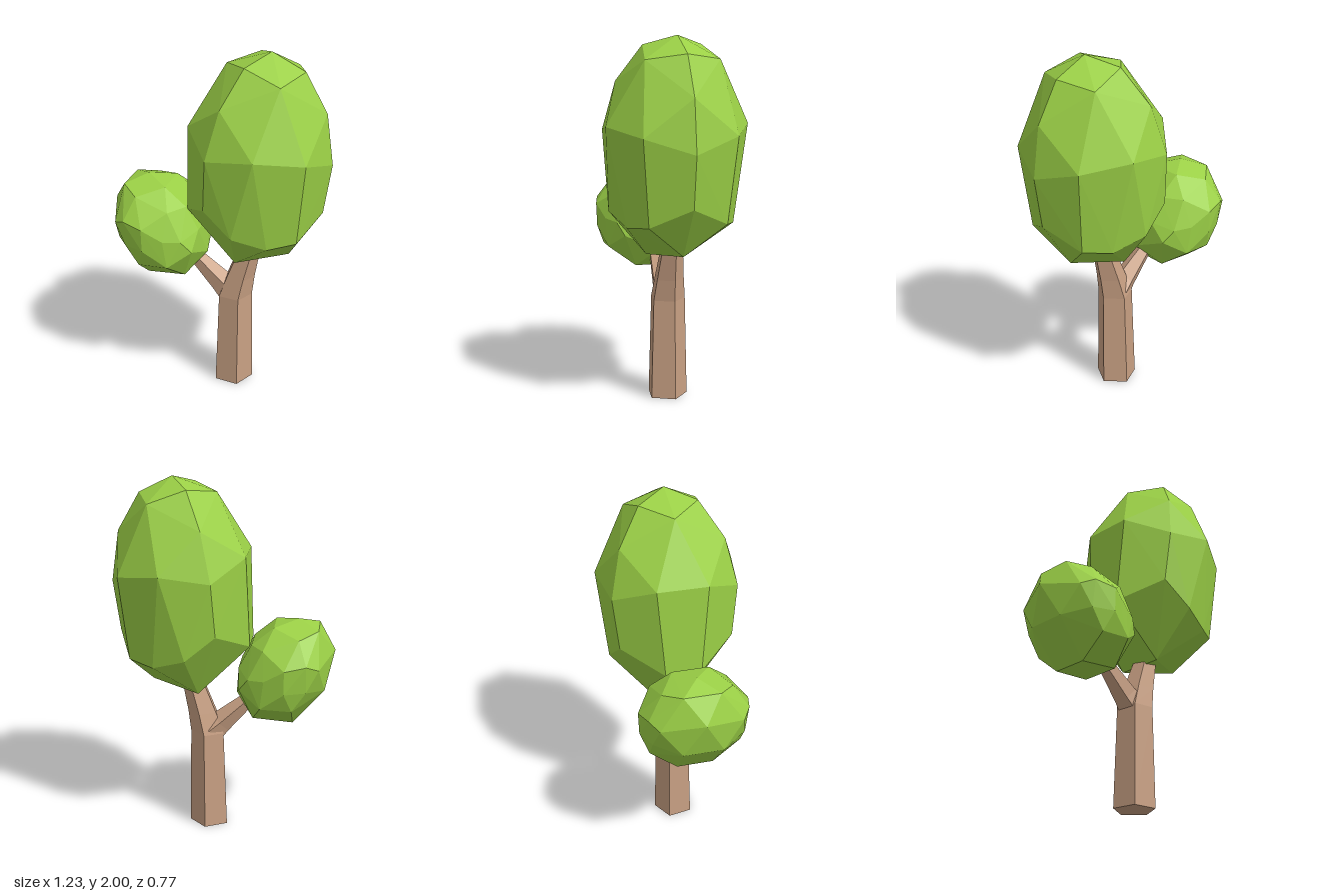
import * as THREE from 'three';
import { ConvexGeometry } from 'three/addons/geometries/ConvexGeometry.js';

const leaf = new THREE.MeshStandardMaterial({ color: 0x9bd046, flatShading: true });
const bark = new THREE.MeshStandardMaterial({ color: 0xc8a083, flatShading: true });

// Faceted foliage: hull of [x, y, z] points, mirrored front to back
function crown(name, points) {
  const all = [];
  for (const [x, y, z] of points) {
    all.push(new THREE.Vector3(x, y, z));
    if (z > 0) all.push(new THREE.Vector3(x, y, -z));
  }
  const mesh = new THREE.Mesh(new ConvexGeometry(all), leaf);
  mesh.name = name;
  return mesh;
}

// Five-sided limb through rings [x, y, radius, tilt about z]
function limb(name, rings) {
  const N = 5, start = -10 * Math.PI / 180;
  const at = ([x, y, r, tilt], i) => {
    const a = start + (i % N) * 2 * Math.PI / N, c = r * Math.cos(a);
    return [x + c * Math.cos(tilt), y + c * Math.sin(tilt), r * Math.sin(a)];
  };
  const pos = [], first = rings[0], last = rings[rings.length - 1];
  for (let i = 0; i < N; i++) {
    for (let k = 0; k < rings.length - 1; k++) {
      const a = at(rings[k], i), b = at(rings[k], i + 1);
      const c = at(rings[k + 1], i), d = at(rings[k + 1], i + 1);
      pos.push(...a, ...c, ...b, ...b, ...c, ...d);
    }
    pos.push(first[0], first[1], 0, ...at(first, i), ...at(first, i + 1));
    pos.push(last[0], last[1], 0, ...at(last, i + 1), ...at(last, i));
  }
  const geo = new THREE.BufferGeometry();
  geo.setAttribute('position', new THREE.Float32BufferAttribute(pos, 3));
  geo.computeVertexNormals();
  const mesh = new THREE.Mesh(geo, bark);
  mesh.name = name;
  return mesh;
}

export function createModel() {
  const tree = new THREE.Group();
  tree.name = 'tree';

  // Trunk leaning into the large crown, with a fork to the right
  tree.add(limb('trunk', [
    [0.073, 0, 0.115, 0], [0.08, 0.56, 0.1, 0], [0.11, 0.68, 0.085, 0], [0.17, 0.88, 0.062, 0],
  ]));
  tree.add(limb('sideBranch', [
    [0.06, 0.575, 0.085, 0.8], [0.005, 0.62, 0.068, 0.85], [-0.19, 0.8, 0.036, 0.8],
  ]));

  // Large egg-shaped crown, from top to bottom
  tree.add(crown('largeCrown', [
    [0.27, 2.0, 0], [0.17, 1.95, 0.16], [0.03, 1.92, 0], [0.45, 1.91, 0], [0.37, 1.88, 0.2],
    [0.08, 1.76, 0.285], [0.57, 1.7, 0],
    [-0.14, 1.6, 0.14], [0.02, 1.5, 0.345], [0.285, 1.54, 0.385], [0.525, 1.5, 0.25], [0.61, 1.42, 0],
    [0, 1.21, 0.315], [0.16, 1.08, 0.345], [0.34, 1.02, 0.29], [0.48, 1.04, 0.21], [0.57, 1.14, 0],
    [-0.16, 1.1, 0.1], [0.12, 0.825, 0.13], [0.39, 0.86, 0],
  ]));

  // Small crown on the side branch
  tree.add(crown('smallCrown', [
    [-0.42, 1.24, 0], [-0.53, 1.2, 0.1], [-0.29, 1.21, 0.1], [-0.43, 1.17, 0.19],
    [-0.62, 1.07, 0], [-0.24, 1.11, 0.21], [-0.17, 1.11, 0.1],
    [-0.54, 1.02, 0.225], [-0.475, 1.05, 0.27], [-0.36, 1.03, 0.3], [-0.25, 0.96, 0.27],
    [-0.16, 0.95, 0.225], [-0.1, 0.98, 0.1], [-0.36, 0.9, 0.295], [-0.475, 0.9, 0.25],
    [-0.57, 0.87, 0.11], [-0.4, 0.79, 0.25], [-0.23, 0.8, 0.26], [-0.11, 0.88, 0.19],
    [-0.08, 0.8, 0], [-0.4, 0.67, 0.1], [-0.18, 0.69, 0.11],
  ]));
  return tree;
}
